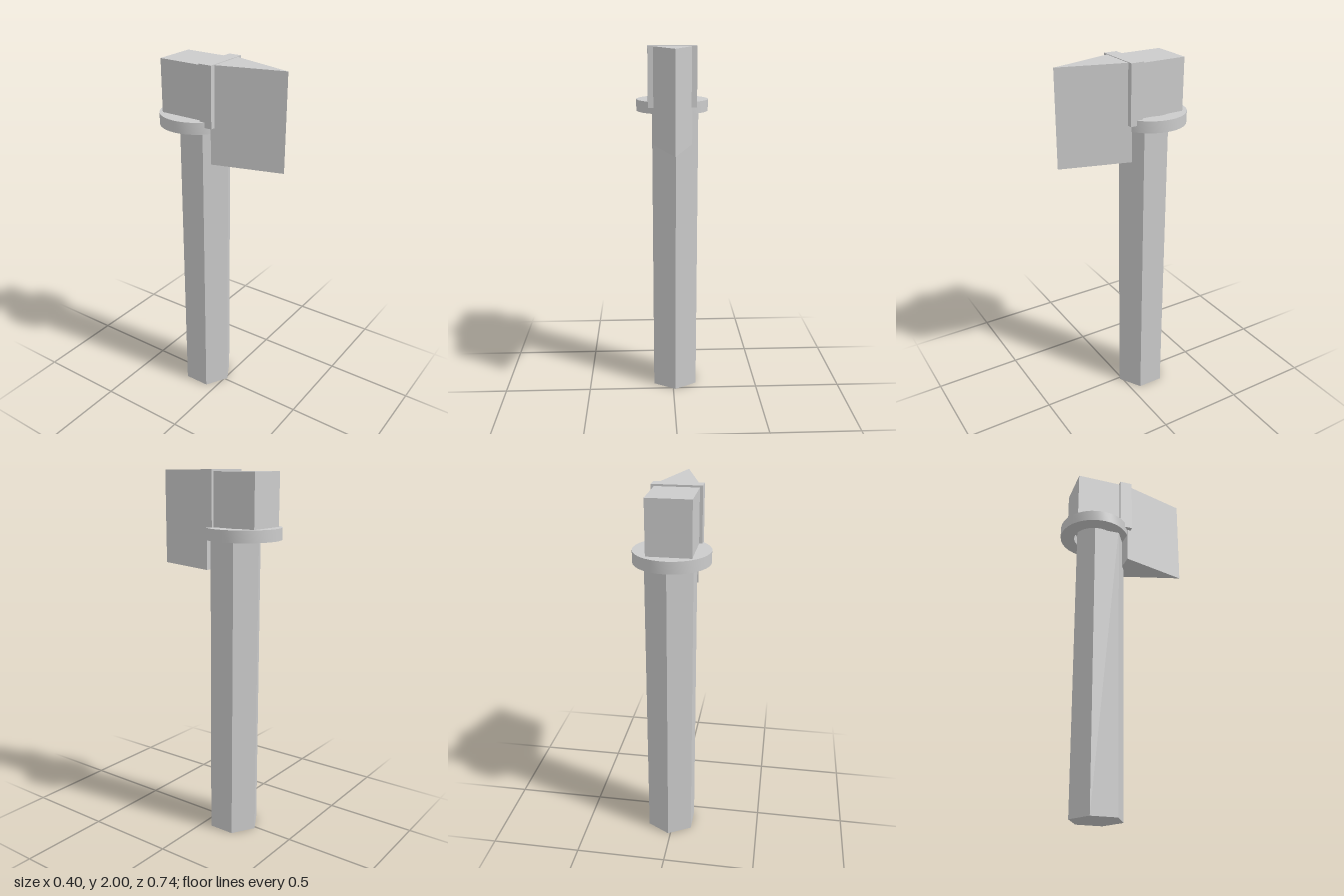
import * as THREE from 'three';
import { toCreasedNormals } from 'three/addons/utils/BufferGeometryUtils.js';

export function createModel() {
  const group = new THREE.Group();
  const material = new THREE.MeshStandardMaterial({ color: 0xcccccc });

  const add = (name, geometry, x, y, z) => {
    const mesh = new THREE.Mesh(geometry, material);
    mesh.name = name;
    mesh.position.set(x, y, z);
    group.add(mesh);
  };
  // Box given by its minimum and maximum corners
  const addBox = (name, a, b) => {
    const [w, h, d] = a.map((v, i) => b[i] - v);
    add(name, new THREE.BoxGeometry(w, h, d), ...a.map((v, i) => (v + b[i]) / 2));
  };

  // Hexagonal handle with an edge facing front and back
  const handleHeight = 1.68;
  const handle = new THREE.CylinderGeometry(0.145, 0.145, handleHeight, 6);
  add('handle', toCreasedNormals(handle, 0.5), 0.013, handleHeight / 2, -0.13);

  // Flat washer-shaped ring under the head
  const profile = [[0.12, 0], [0.2, 0], [0.2, 0.063], [0.12, 0.063], [0.12, 0]]
    .map(([r, y]) => new THREE.Vector2(r, y));
  add('ring', toCreasedNormals(new THREE.LatheGeometry(profile, 32), 0.5), 0, 1.645, -0.173);

  // Hammer block and the collar in front of it
  addBox('headBlock', [-0.12, 1.7, -0.31], [0.11, 1.99, -0.055]);
  addBox('collar', [-0.136, 1.68, -0.056], [0.126, 2, 0.016]);

  // Wedge blade tapering to a vertical front edge
  const wedge = new THREE.Shape([
    new THREE.Vector2(-0.113, 0.005),
    new THREE.Vector2(-0.005, -0.37),
    new THREE.Vector2(0.103, 0.005),
  ]);
  const blade = new THREE.ExtrudeGeometry(wedge, { depth: 0.517, bevelEnabled: false });
  blade.rotateX(-Math.PI / 2);
  add('blade', blade, 0, 1.48, 0);

  return group;
}
